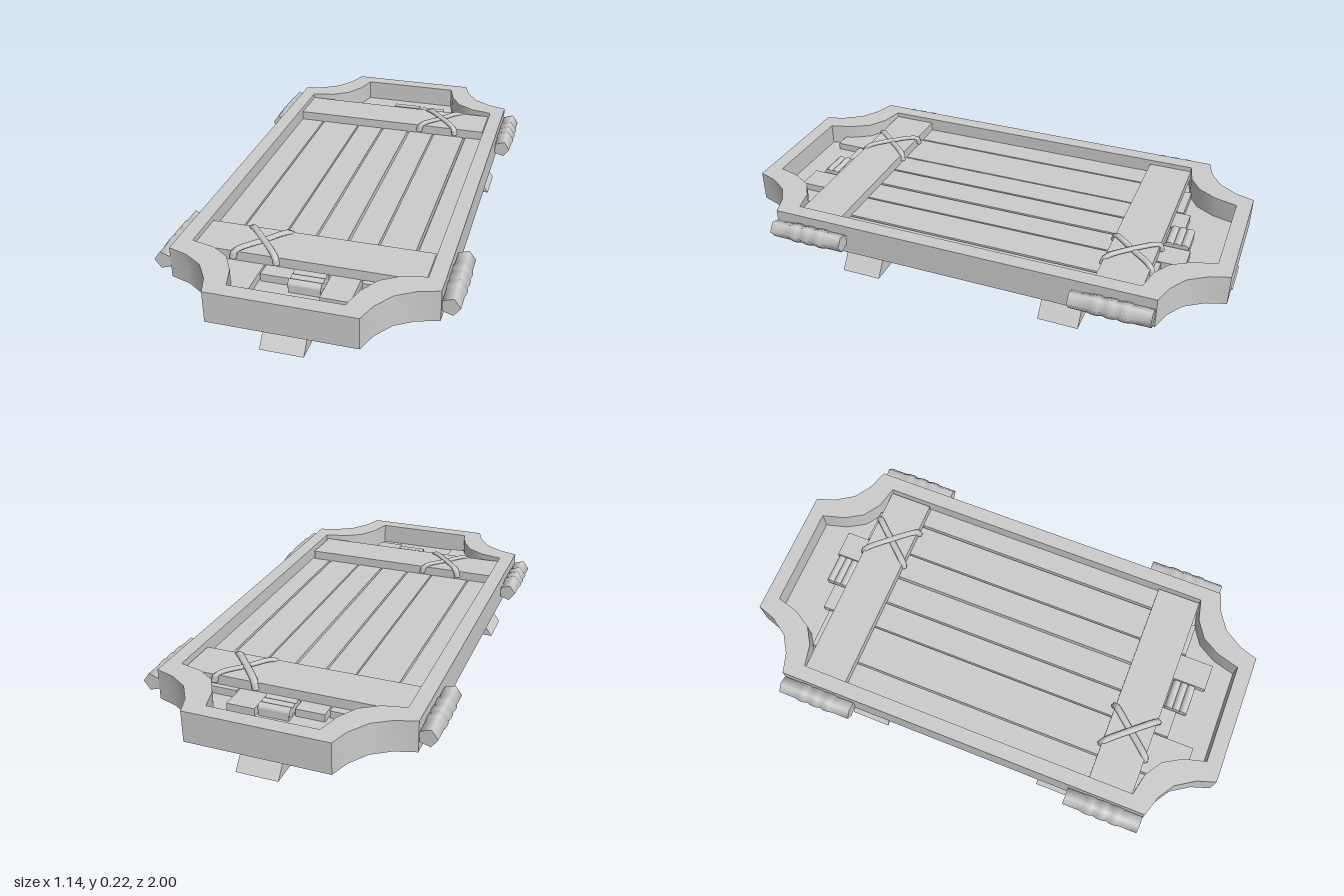
import * as THREE from 'three';
import { toCreasedNormals } from 'three/addons/utils/BufferGeometryUtils.js';

const material = new THREE.MeshStandardMaterial({ color: 0xcccccc });

function add(parent, name, geometry, x = 0, y = 0, z = 0) {
  const mesh = new THREE.Mesh(geometry, material);
  mesh.name = name;
  mesh.position.set(x, y, z);
  parent.add(mesh);
  return mesh;
}

// Box given by its limits on each axis
function slab(parent, name, x0, x1, y0, y1, z0, z1) {
  return add(parent, name, new THREE.BoxGeometry(x1 - x0, y1 - y0, z1 - z0),
    (x0 + x1) / 2, (y0 + y1) / 2, (z0 + z1) / 2);
}

// Mirror one corner curve into a closed four-cornered outline, anticlockwise
function outline(corner) {
  const back = [...corner].reverse();
  return [
    ...corner,
    ...back.map(([x, y]) => [x, -y]),
    ...corner.map(([x, y]) => [-x, -y]),
    ...back.map(([x, y]) => [-x, y]),
  ].map(([x, y]) => new THREE.Vector2(x, y)).reverse();
}

// Extrude a plan outline upwards
function plate(shape, y0, y1) {
  const g = new THREE.ExtrudeGeometry(shape, { depth: y1 - y0, bevelEnabled: false });
  g.rotateX(-Math.PI / 2).translate(0, y0, 0);
  return toCreasedNormals(g, 0.7);
}

// Skid with ends that splay outwards towards the ground, running along x
function skid(topHalf, bottomHalf, y0, y1, width) {
  const shape = new THREE.Shape([
    new THREE.Vector2(-bottomHalf, y0), new THREE.Vector2(bottomHalf, y0),
    new THREE.Vector2(topHalf, y1), new THREE.Vector2(-topHalf, y1),
  ]);
  return new THREE.ExtrudeGeometry(shape, { depth: width, bevelEnabled: false })
    .translate(0, 0, -width / 2);
}

// Five-sided, smooth-shaded grip with swollen rings around its middle
function gripGeometry() {
  const half = 0.155, r = 0.036;
  const profile = [[0, -half], [r, -half], [r, -0.085]];
  for (const c of [-0.055, 0, 0.055]) {
    profile.push([r, c - 0.026], [r + 0.004, c - 0.014], [r + 0.005, c],
      [r + 0.004, c + 0.014], [r, c + 0.026]);
  }
  profile.push([r, 0.085], [r, half], [0, half]);
  const g = new THREE.LatheGeometry(profile.map(([x, y]) => new THREE.Vector2(x, y)), 5);
  // A lathe starts on +z: turn that vertex to +x and the axis to z
  g.rotateY(Math.PI / 2).rotateX(Math.PI / 2);
  return toCreasedNormals(g, 1.35);
}

// Flattened strap running diagonally over a batten and down its sides
function strapGeometry(direction, rise) {
  const path = new THREE.CatmullRomCurve3([
    [-0.084, -0.04, -0.094], [-0.074, 0.008, -0.084], [0, rise, 0],
    [0.074, 0.008, 0.084], [0.084, -0.04, 0.094],
  ].map(([x, y, z]) => new THREE.Vector3(direction * x, y, z)));
  return new THREE.TubeGeometry(path, 16, 0.014, 6, false).scale(1, 0.6, 1);
}

export function createModel() {
  const model = new THREE.Group();
  model.name = 'slattedTray';

  // Rim with scooped corners, and the recessed floor inside it
  const outer = outline([[0.275, 1], [0.3, 0.925], [0.35, 0.85], [0.42, 0.805], [0.5, 0.78]]);
  const inner = outline([[0.21, 0.94], [0.235, 0.85], [0.28, 0.775], [0.35, 0.73], [0.44, 0.71]]);
  const rim = new THREE.Shape(outer);
  rim.holes.push(new THREE.Path([...inner].reverse()));
  add(model, 'rim', plate(rim, 0.098, 0.222));
  add(model, 'floor', plate(new THREE.Shape(inner), 0.12, 0.135));

  // Lengthwise planks of uneven length: x limits, back end, front end
  const planks = [
    [-0.44, -0.337, -0.7, 0.7],
    [-0.33, -0.163, -0.74, 0.88],
    [-0.157, -0.045, -0.77, 0.77],
    [-0.037, 0.08, -0.81, 0.81],
    [0.09, 0.2, -0.82, 0.85],
    [0.207, 0.345, -0.73, 0.73],
    [0.355, 0.44, -0.7, 0.7],
  ];
  const boards = new THREE.Group();
  boards.name = 'planks';
  model.add(boards);
  for (const [x0, x1, z0, z1] of planks) slab(boards, 'plank', x0, x1, 0.13, 0.165, z0, z1);

  for (const s of [-1, 1]) {
    const end = s > 0 ? 'front' : 'back';

    // Batten across the planks
    slab(model, end + 'Batten', -0.438, 0.432, 0.16, 0.203, s * 0.62 - 0.09, s * 0.62 + 0.09);

    // Crossed lashing over the batten
    const lashing = new THREE.Group();
    lashing.name = end + 'Lashing';
    lashing.position.set(s > 0 ? -0.2 : 0.22, 0.2, s * 0.62);
    model.add(lashing);
    add(lashing, 'strap', strapGeometry(1, 0.022));
    add(lashing, 'strap', strapGeometry(-1, 0.012));

    // Cord wound round the end of the middle plank
    const cord = new THREE.Group();
    cord.name = end + 'CordWrap';
    model.add(cord);
    for (let i = 0; i < 3; i++) {
      const turn = new THREE.CylinderGeometry(0.018, 0.018, 0.122, 10).rotateZ(Math.PI / 2);
      add(cord, 'cordTurn', turn, 0.021, 0.162, s * (0.733 + i * 0.03));
    }

    // Skid across the underside
    add(model, end + 'CrossSkid', skid(0.41, 0.5, 0, 0.125, 0.16), 0, 0, s * 0.417);

    // Grips on both sides of this end
    for (const side of [-1, 1]) {
      const grip = add(model, end + (side > 0 ? 'Left' : 'Right') + 'Grip',
        gripGeometry(), side * 0.531, 0.16, s * 0.622);
      if (side < 0) grip.rotation.y = Math.PI;
    }
  }

  // Long skid along the middle of the underside
  add(model, 'longSkid', skid(0.915, 1, 0.02, 0.125, 0.16).rotateY(Math.PI / 2));

  return model;
}
